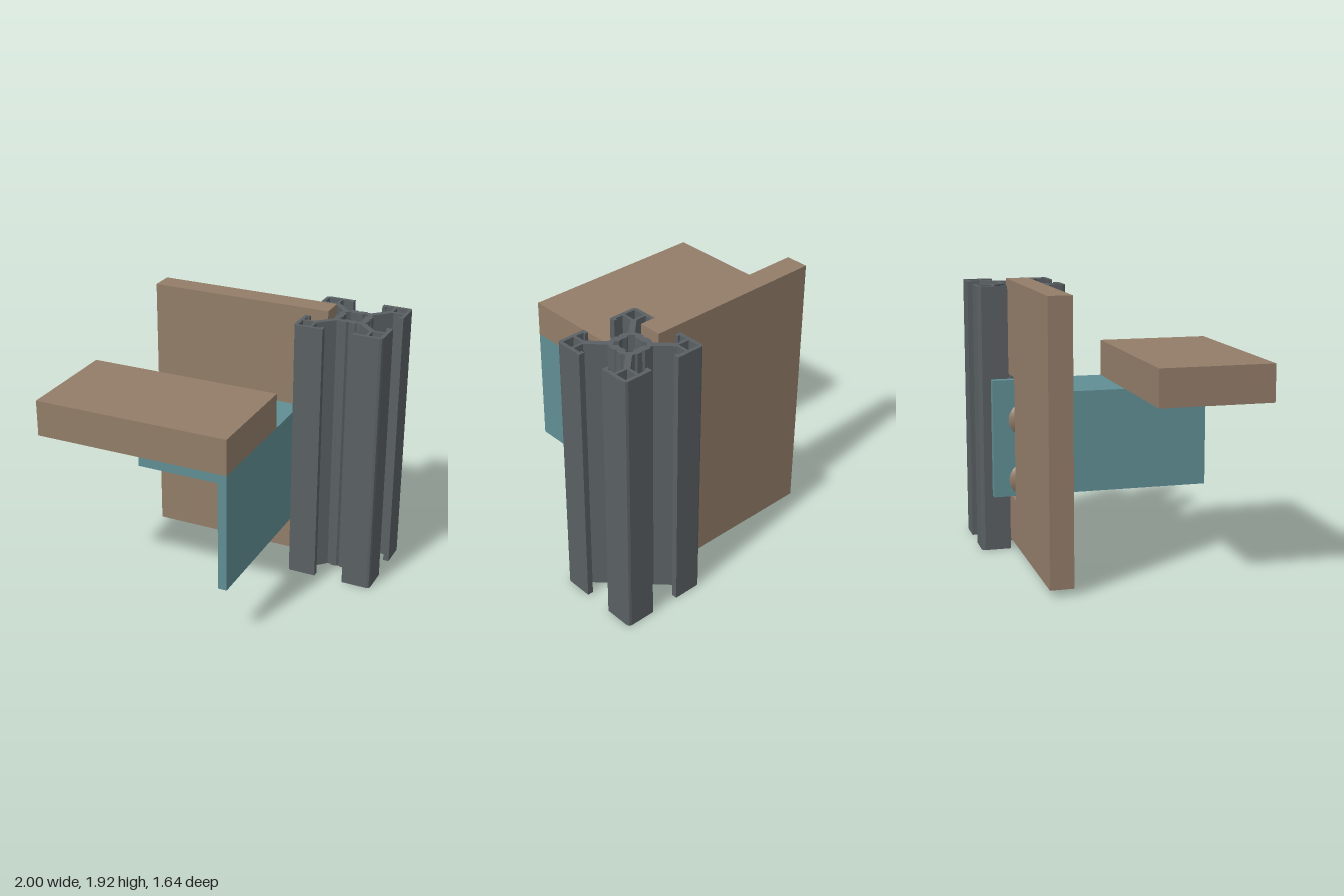
import * as THREE from 'three';

const wood = new THREE.MeshStandardMaterial({ color: 0x937d69 });
wood.name = 'brown';
const teal = new THREE.MeshStandardMaterial({ color: 0x608f94 });
teal.name = 'teal';
const metal = new THREE.MeshStandardMaterial({ color: 0x5a6063 });
metal.name = 'darkGrey';

const points = (list) => list.map(([x, y]) => new THREE.Vector2(x, y));

// Repeats one quadrant of a section four times about the origin
function fourfold(quadrant) {
  const out = [];
  for (let i = 0; i < 4; i++) {
    for (const [u, v] of quadrant) {
      out.push([[u, v], [-v, u], [-u, -v], [v, -u]][i]);
    }
  }
  return out;
}

function extrude(shape, depth) {
  return new THREE.ExtrudeGeometry(shape, { depth, bevelEnabled: false });
}

function add(parent, name, geometry, material) {
  const mesh = new THREE.Mesh(geometry, material);
  mesh.name = name;
  parent.add(mesh);
  return mesh;
}

// Box given by its minimum and maximum corners
function block(parent, name, min, max, material) {
  const size = max.map((m, i) => m - min[i]);
  const mesh = add(parent, name, new THREE.BoxGeometry(...size), material);
  mesh.position.set(...max.map((m, i) => (m + min[i]) / 2));
  return mesh;
}

// Slotted post section: core, diagonal ribs, hollow corners and hooked lips
function slottedPost() {
  const half = [
    [0.12, 0.012], [0.12, 0.05], [0.11, 0.06], [0.11, 0.082], [0.213, 0.185],
    [0.285, 0.185], [0.285, 0.128], [0.27, 0.128], [0.27, 0.104], [0.311, 0.104],
    [0.311, 0.288], [0.304, 0.304],
  ];
  const mirrored = half.slice(0, -1).reverse().map(([u, v]) => [v, u]);
  const shape = new THREE.Shape(points(fourfold([[0.107, 0], ...half, ...mirrored])));

  // Central bore with diagonal lobes
  const bore = [[0.072, 0], [0.066, 0.032], [0.085, 0.056], [0.056, 0.085], [0.032, 0.066]];
  shape.holes.push(new THREE.Path(points(fourfold(bore))));

  // Square corner tubes
  const a = 0.205, b = 0.286;
  for (const sx of [-1, 1]) {
    for (const sy of [-1, 1]) {
      shape.holes.push(new THREE.Path(points([
        [sx * a, sy * a], [sx * b, sy * a], [sx * b, sy * b], [sx * a, sy * b],
      ])));
    }
  }
  return extrude(shape, 1.88).rotateX(-Math.PI / 2);
}

export function createModel() {
  const model = new THREE.Group();
  model.name = 'postAndBracketAssembly';

  const post = add(model, 'slottedPost', slottedPost(), metal);
  post.position.set(0.685, 0, -0.512);

  // Upright panel held in the post slot, notched around the bracket
  const panel = new THREE.Shape(points([
    [-0.77, 0.045], [0.53, 0.045], [0.53, 0.375], [0.29, 0.375],
    [0.29, 1.25], [0.53, 1.25], [0.53, 1.92], [-0.77, 1.92],
  ]));
  add(model, 'uprightPanel', extrude(panel, 0.16), wood).position.z = -0.593;

  // Angle bracket
  const bracket = new THREE.Group();
  bracket.name = 'angleBracket';
  model.add(bracket);
  block(bracket, 'bracketWeb', [0.31, 0.4, -0.742], [0.372, 1.232, 0.822], teal);
  block(bracket, 'bracketFlange', [-0.25, 1.17, -0.365], [0.31, 1.232, 0.822], teal);

  // Board resting on the bracket
  block(model, 'shelfBoard', [-1, 1.232, 0.05], [0.372, 1.482, 0.822], wood);

  // Round-ended studs joining the bracket to the post slot
  const stud = new THREE.LatheGeometry(points([
    [0, 0], [0.12, 0], [0.12, 0.13], [0.113, 0.16], [0.095, 0.19],
    [0.06, 0.222], [0.045, 0.23], [0, 0.23],
  ]), 32).rotateZ(-Math.PI / 2);
  for (const y of [0.52, 0.95]) {
    add(model, 'stud', stud, wood).position.set(0.309, y, -0.512);
  }
  return model;
}
